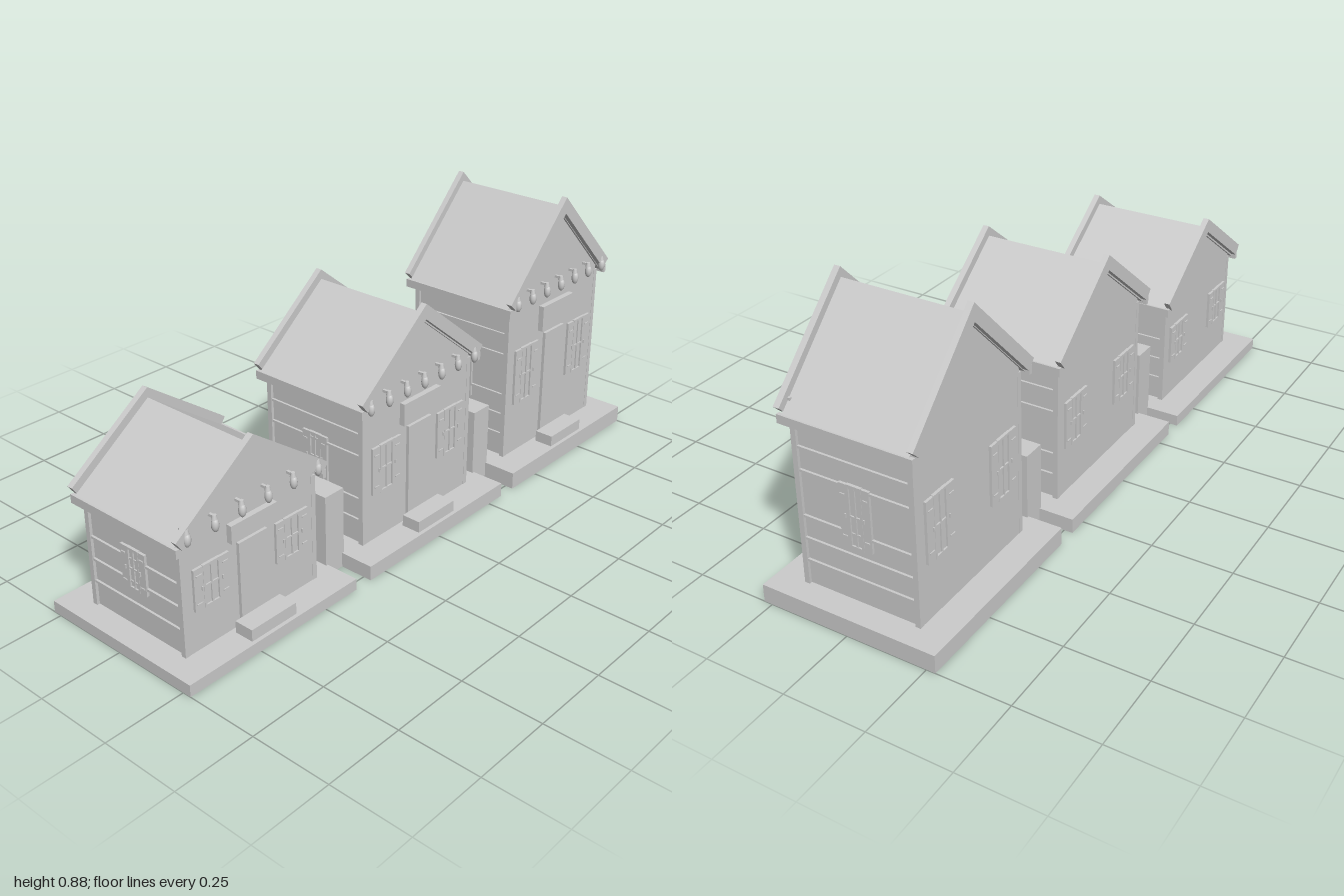
import * as THREE from 'three';

const grey = new THREE.MeshStandardMaterial({ color: 0xcccccc });
grey.name = 'plain grey';

function add(parent, name, geometry, x = 0, y = 0, z = 0) {
  const mesh = new THREE.Mesh(geometry, grey);
  mesh.name = name;
  mesh.position.set(x, y, z);
  parent.add(mesh);
  return mesh;
}

const box = (parent, name, w, h, d, x, y, z) =>
  add(parent, name, new THREE.BoxGeometry(w, h, d), x, y, z);

// Flat outline in x and y, given depth from z0 to z1
function slab(parent, name, points, z0, z1) {
  const shape = new THREE.Shape(points.map(p => new THREE.Vector2(...p)));
  const geometry = new THREE.ExtrudeGeometry(shape, { depth: z1 - z0, bevelEnabled: false });
  return add(parent, name, geometry, 0, 0, z0);
}

// Chevron following the roof slope, with ends cut square to it
function chevron(apex, slope, halfWidth, thickness) {
  const length = Math.hypot(1, slope);
  const dx = thickness * slope / length, dy = thickness / length;
  const y = apex - slope * halfWidth;
  return [[-halfWidth, y], [-halfWidth + dx, y - dy], [0, apex - thickness * length],
    [halfWidth - dx, y - dy], [halfWidth, y], [0, apex]];
}

// Window facing +z with frame, crossing bars and a pair of open shutters
function windowUnit(w, h) {
  const g = new THREE.Group();
  g.name = 'window';
  const shutter = w * 0.26, glass = w - 2 * shutter, bar = 0.007;
  box(g, 'pane', glass, h, 0.004, 0, 0, 0.002);
  for (const s of [-1, 1]) {
    box(g, 'frameSide', bar, h, 0.009, s * (glass - bar) / 2, 0, 0.0045);
    box(g, 'frameEnd', glass, bar, 0.009, 0, s * (h - bar) / 2, 0.0045);
    const x = s * (w - shutter) / 2;
    box(g, 'shutter', shutter, h * 0.98, 0.008, x, 0, 0.004);
    for (const k of [-1, 1])
      box(g, 'hinge', shutter * 0.6, 0.004, 0.003, x, k * h * 0.33, 0.0095);
    box(g, 'handle', 0.004, 0.012, 0.004, s * (glass / 2 + 0.006), 0, 0.01);
  }
  box(g, 'uprightBar', 0.005, h, 0.008, 0, 0, 0.004);
  box(g, 'crossBar', glass, 0.005, 0.008, 0, 0, 0.004);
  return g;
}

function house(o) {
  const g = new THREE.Group();
  g.name = o.name;
  g.position.x = o.x;
  const eave = o.apex - 0.03 - 0.265 * o.slope;
  box(g, 'base', 0.626, o.base, 0.554, 0, o.base / 2, 0);

  // Walls with pointed gables
  const wallTop = o.apex - 0.05, shoulder = wallTop - 0.237 * o.slope;
  slab(g, 'walls', [[-0.237, o.base], [0.237, o.base], [0.237, shoulder],
    [0, wallTop], [-0.237, shoulder]], -0.187, 0.187);

  // Roof slabs, eave boards and gable trim
  slab(g, 'roof', chevron(o.apex - 0.03, o.slope, 0.268, 0.018), -0.194, 0.194);
  const trim = chevron(o.apex, o.slope, 0.273, 0.037);
  slab(g, 'frontGableTrim', trim, 0.193, 0.212);
  slab(g, 'backGableTrim', trim, -0.212, -0.193);

  const windowY = (o.winLow + o.winHigh) / 2, windowH = o.winHigh - o.winLow;
  for (const s of [-1, 1]) {
    box(g, 'eaveBoard', 0.012, 0.026, 0.414, s * 0.264, eave - 0.012, 0);
    // Corner posts
    const postH = eave - 0.012 - o.base;
    for (const k of [-1, 1])
      box(g, 'cornerPost', 0.016, postH, 0.016, s * 0.238, o.base + postH / 2, k * 0.18);
    // Siding battens, leaving a gap at the middle of the window
    for (let y = o.base + 0.077; y < eave - 0.06; y += 0.07) {
      if (Math.abs(y - windowY) < 0.025) continue;
      box(g, 'sidingBatten', 0.008, 0.007, 0.344, s * 0.24, y, 0);
    }
    // Windows on the side, front and back
    const side = windowUnit(0.096, windowH);
    side.position.set(s * 0.237, windowY, 0);
    side.rotation.y = s * Math.PI / 2;
    const front = windowUnit(0.123, windowH);
    front.position.set(s * 0.147, windowY, 0.187);
    const back = windowUnit(0.123, windowH);
    back.position.set(s * 0.147, windowY, -0.187);
    back.rotation.y = Math.PI;
    g.add(side, front, back);
  }

  // Door, blank sign board and step
  box(g, 'door', 0.104, o.door - o.base, 0.012, 0, (o.door + o.base) / 2, 0.191);
  box(g, 'signBoard', 0.166, o.signHigh - o.signLow, 0.02, 0, (o.signHigh + o.signLow) / 2, 0.195);
  box(g, 'step', 0.166, 0.036, 0.062, 0, o.base + 0.018, 0.234);

  // Row of hanging lamps
  const bulb = new THREE.SphereGeometry(0.011, 12, 8).scale(1, 1.9, 1);
  const cap = new THREE.CylinderGeometry(0.006, 0.009, 0.014, 10);
  for (let i = 0; i < o.bulbs; i++) {
    const x = -0.235 + 0.47 * i / (o.bulbs - 1);
    add(g, 'lampBulb', bulb, x, o.bulbY - 0.005, 0.211);
    add(g, 'lampCap', cap, x, o.bulbY + 0.017, 0.209);
    box(g, 'lampBracket', 0.008, 0.008, 0.024, x, o.bulbY + 0.018, 0.197);
  }
  return g;
}

export function createModel() {
  const model = new THREE.Group();
  model.name = 'houseRow';
  model.add(
    house({ name: 'smallHouse', x: -0.687, base: 0.036, apex: 0.6, slope: 0.71, winLow: 0.16,
      winHigh: 0.289, door: 0.295, signLow: 0.31, signHigh: 0.364, bulbs: 6, bulbY: 0.405 }),
    house({ name: 'middleHouse', x: 0, base: 0.046, apex: 0.738, slope: 0.8, winLow: 0.198,
      winHigh: 0.353, door: 0.364, signLow: 0.38, signHigh: 0.45, bulbs: 7, bulbY: 0.5 }),
    house({ name: 'tallHouse', x: 0.687, base: 0.055, apex: 0.88, slope: 1.02, winLow: 0.23,
      winHigh: 0.422, door: 0.433, signLow: 0.45, signHigh: 0.535, bulbs: 7, bulbY: 0.595 }),
  );
  // Divider walls between the houses
  for (const s of [-1, 1]) box(model, 'dividerWall', 0.075, 0.26, 0.335, s * 0.343, 0.13, 0);
  return model;
}
